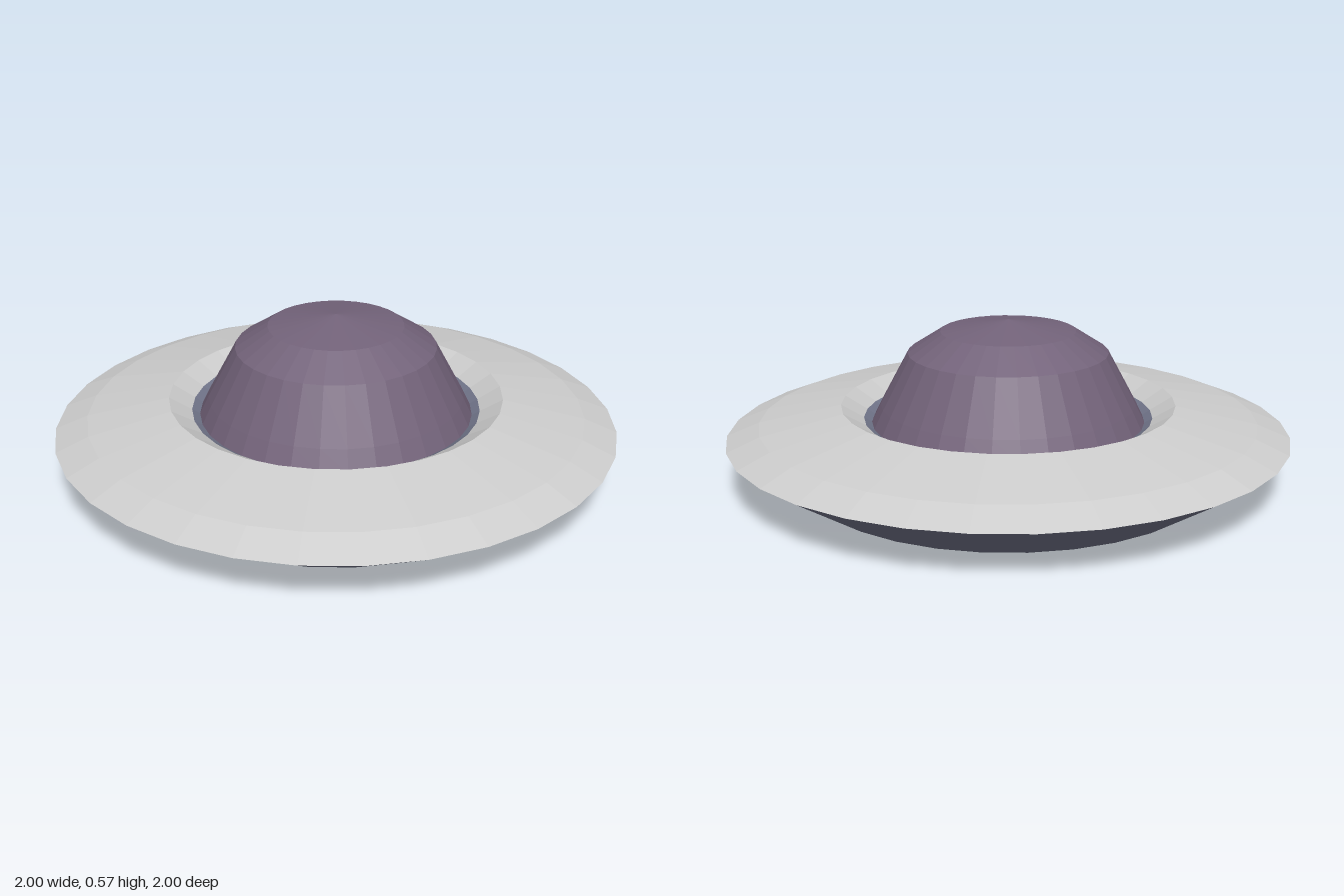
import * as THREE from 'three';

const SIDES = 32;

const material = (name, color) => {
  const m = new THREE.MeshStandardMaterial({ color, flatShading: true });
  m.name = name;
  return m;
};

// Faceted ring or cap turned from a profile of [radius, height] points
function turned(name, mat, profile) {
  const points = profile.map(([r, y]) => new THREE.Vector2(r, y));
  const mesh = new THREE.Mesh(new THREE.LatheGeometry(points, SIDES), mat);
  mesh.name = name;
  return mesh;
}

export function createModel() {
  const slate = material('slate blue', 0x72768b);
  const grey = material('light grey', 0xcdcdcd);
  const violet = material('dusky violet', 0x73637a);

  const saucer = new THREE.Group();
  saucer.name = 'saucer';
  saucer.add(
    // Dished base and flared underside
    turned('lowerHull', slate, [[0, 0.06], [0.735, 0], [1, 0.17]]),
    // Sloping top deck with a lip that dips towards the dome
    turned('upperDeck', grey, [[1, 0.17], [0.885, 0.217], [0.595, 0.276], [0.515, 0.228]]),
    // Sunken ring around the foot of the dome
    turned('domeSeat', slate, [[0.515, 0.228], [0.47, 0.2]]),
    // Canopy dome
    turned('dome', violet, [[0.49, 0.205], [0.455, 0.276], [0.356, 0.46], [0.24, 0.535], [0, 0.575]])
  );
  return saucer;
}
